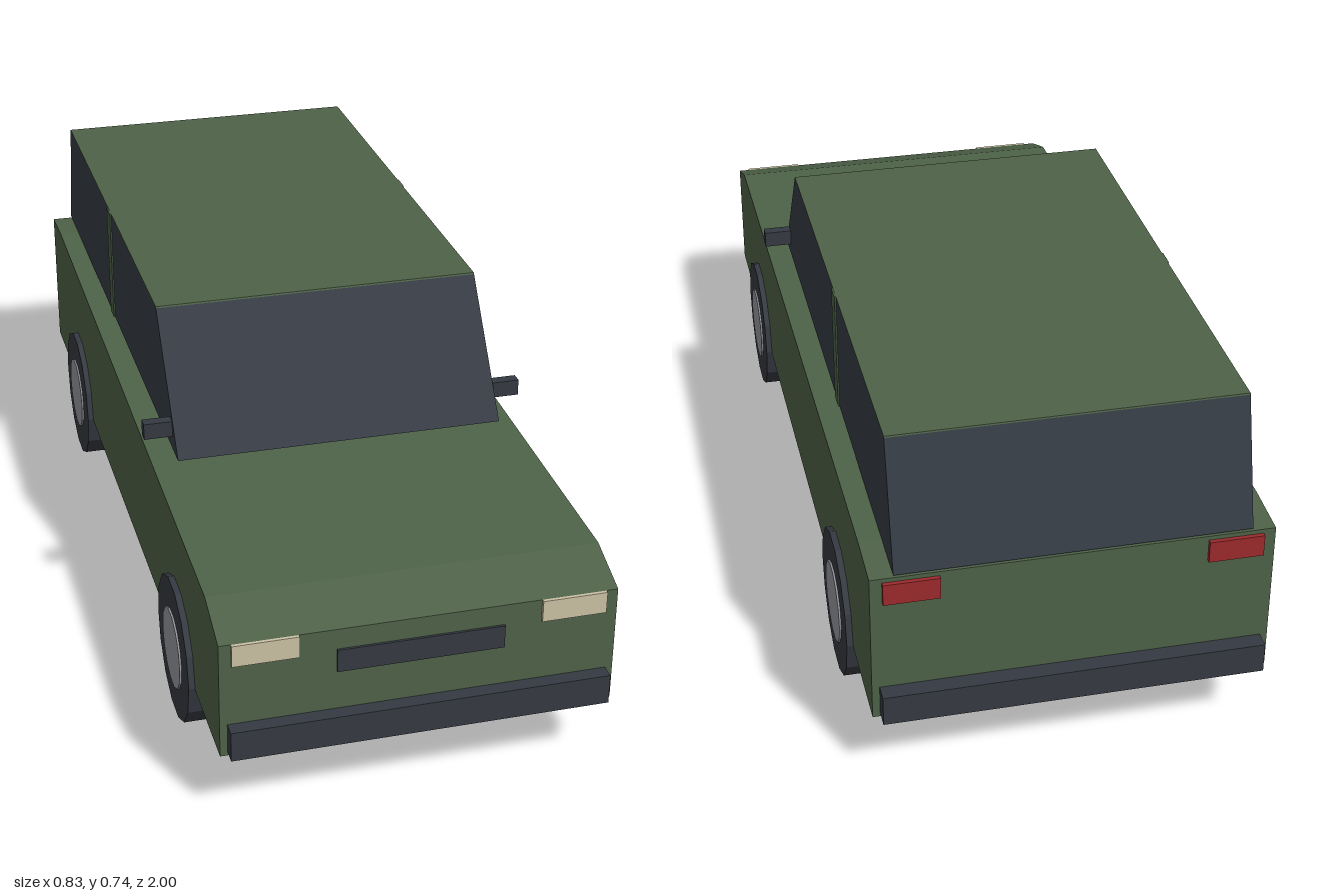
import * as THREE from 'three';

const material = (name, color) => {
  const m = new THREE.MeshStandardMaterial({ color, flatShading: true });
  m.name = name;
  return m;
};

export function createModel() {
  const green = material('green paint', 0x4e6248);
  const glass = material('dark glass', 0x363c45);
  const trim = material('dark trim', 0x353941);
  const steel = material('hub grey', 0x94979d);
  const cream = material('headlight cream', 0xcbc0a4);
  const red = material('tail light red', 0x9c2a2c);

  const car = new THREE.Group();
  car.name = 'car';

  const add = (name, geometry, mat, x = 0, y = 0, z = 0) => {
    const mesh = new THREE.Mesh(geometry, mat);
    mesh.name = name;
    mesh.position.set(x, y, z);
    car.add(mesh);
    return mesh;
  };

  // Side profile of [z, y] points, extruded across the width of the car
  const profile = (points, width) => {
    const shape = new THREE.Shape(points.map(([z, y]) => new THREE.Vector2(z, y)));
    return new THREE.ExtrudeGeometry(shape, { depth: width, bevelEnabled: false })
      .translate(0, 0, -width / 2)
      .rotateY(-Math.PI / 2);
  };

  const box = (name, mat, [x0, x1], [y0, y1], [z0, z1]) =>
    add(name, new THREE.BoxGeometry(x1 - x0, y1 - y0, z1 - z0), mat,
      (x0 + x1) / 2, (y0 + y1) / 2, (z0 + z1) / 2);

  // Lower body with a sloped bonnet nose
  add('body', profile([
    [-0.965, 0.15], [0.97, 0.15], [0.97, 0.4], [0.86, 0.44], [-0.85, 0.481], [-0.965, 0.475],
  ], 0.792), green);

  // Glass cabin with a thin painted roof
  add('cabinGlass', profile([
    [-0.965, 0.48], [0.4, 0.48], [0.204, 0.739], [-0.896, 0.739],
  ], 0.7), glass);
  add('roof', profile([
    [-0.896, 0.739], [0.204, 0.739], [0.202, 0.742], [-0.895, 0.742],
  ], 0.7), green);

  // Bumpers and grille
  box('frontBumper', trim, [-0.381, 0.381], [0.157, 0.221], [0.96, 1]);
  box('rearBumper', trim, [-0.381, 0.381], [0.157, 0.221], [-1, -0.955]);
  box('grille', trim, [-0.167, 0.167], [0.307, 0.356], [0.968, 0.975]);

  for (const [side, s] of [['left', 1], ['right', -1]]) {
    const span = (a, b) => (s > 0 ? [a, b] : [-b, -a]);

    // Lights, door pillar and mirror
    box(`${side}Headlight`, cream, span(0.241, 0.372), [0.354, 0.4], [0.968, 0.977]);
    box(`${side}TailLight`, red, span(0.262, 0.372), [0.42, 0.466], [-0.974, -0.965]);
    box(`${side}Pillar`, green, span(0.345, 0.353), [0.48, 0.741], [-0.362, -0.322]);
    box(`${side}Mirror`, trim, span(0.349, 0.41), [0.51, 0.545], [0.323, 0.347]);

    // Wheels with hubs showing on both faces
    for (const [end, z] of [['Front', 0.592], ['Rear', -0.592]]) {
      const cylinder = (r, width) => new THREE.CylinderGeometry(r, r, width, 14).rotateZ(Math.PI / 2);
      add(`${side}${end}Tyre`, cylinder(0.154, 0.098), trim, s * 0.36, 0.154, z);
      add(`${side}${end}Hub`, cylinder(0.086, 0.106), steel, s * 0.36, 0.154, z);
    }
  }
  return car;
}
